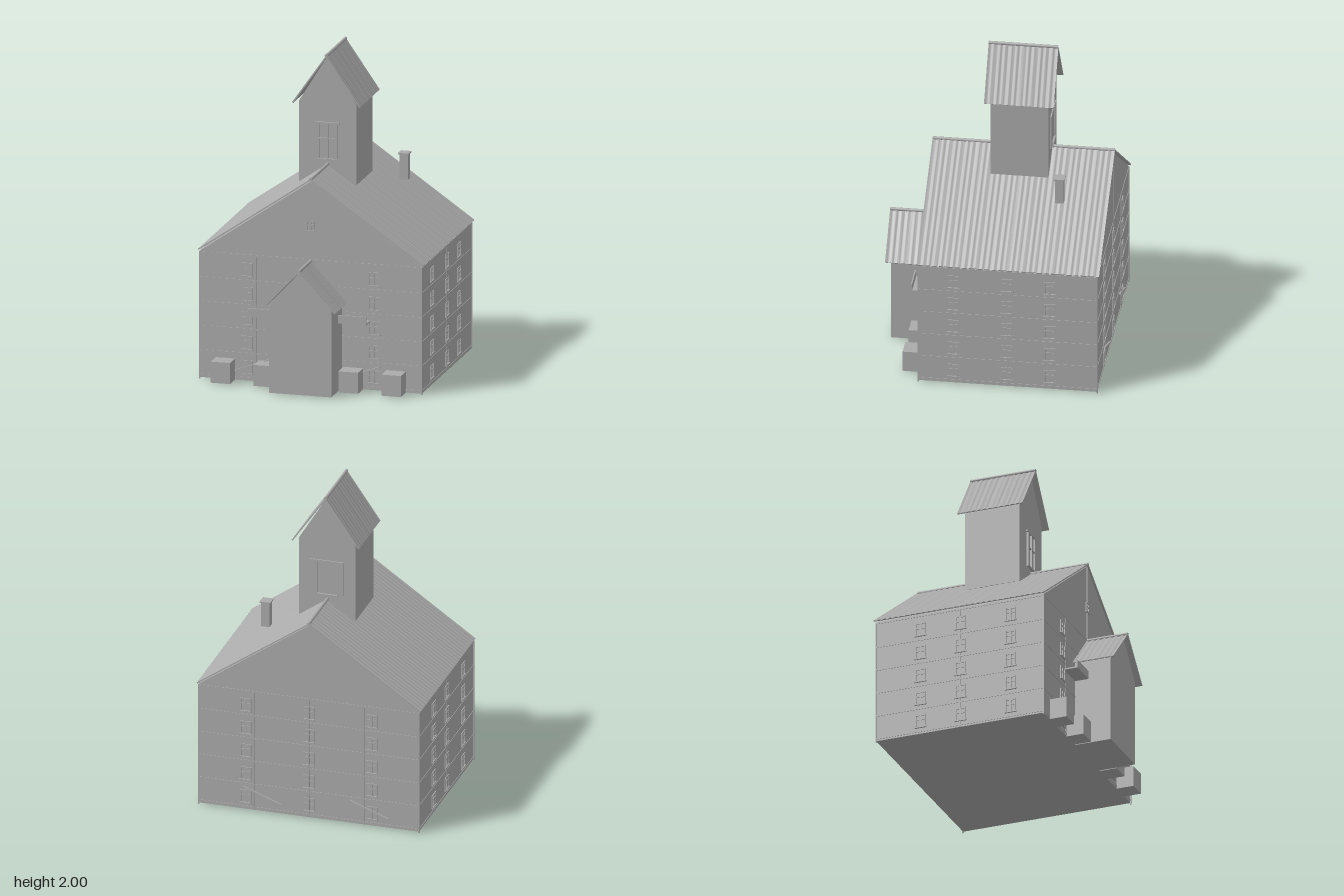
import * as THREE from 'three';
import { toCreasedNormals } from 'three/addons/utils/BufferGeometryUtils.js';

const plaster = new THREE.MeshStandardMaterial({ color: 0xaaaaaa });
plaster.name = 'grey plaster';

function add(parent, name, geometry, x = 0, y = 0, z = 0) {
  const mesh = new THREE.Mesh(geometry, plaster);
  mesh.name = name;
  mesh.position.set(x, y, z);
  parent.add(mesh);
  return mesh;
}

// Box given by its limits on each axis
function box(parent, name, x0, x1, y0, y1, z0, z1) {
  return add(parent, name, new THREE.BoxGeometry(x1 - x0, y1 - y0, z1 - z0),
    (x0 + x1) / 2, (y0 + y1) / 2, (z0 + z1) / 2);
}

// Walls with a pointed gable, running from z0 to z1
function gabledBlock(parent, name, half, y0, eave, apex, z0, z1) {
  const s = new THREE.Shape();
  s.moveTo(-half, y0);
  s.lineTo(half, y0);
  s.lineTo(half, eave);
  s.lineTo(0, apex);
  s.lineTo(-half, eave);
  s.closePath();
  const g = new THREE.ExtrudeGeometry(s, { depth: z1 - z0, bevelEnabled: false });
  add(parent, name, g, 0, 0, z0);
}

// Two corrugated slopes and a rounded ridge cap
function corrugatedRoof(parent, name, half, eave, apex, z0, z1) {
  const roof = new THREE.Group();
  roof.name = name;
  parent.add(roof);
  const width = z1 - z0, waves = Math.round(width / 0.036), n = waves * 6;
  const slope = Math.hypot(half, apex - eave);
  const c = half / slope, sn = (apex - eave) / slope;
  const s = new THREE.Shape();
  s.moveTo(-width / 2, -0.009);
  s.lineTo(width / 2, -0.009);
  for (let i = n; i >= 0; i--) {
    s.lineTo(-width / 2 + width * i / n, -0.003 + 0.0025 * Math.cos(i / 6 * Math.PI * 2));
  }
  s.closePath();
  for (const side of [1, -1]) {
    const g = toCreasedNormals(new THREE.ExtrudeGeometry(s, { depth: slope, bevelEnabled: false }), 0.7);
    g.applyMatrix4(new THREE.Matrix4().makeBasis(
      new THREE.Vector3(0, 0, -side),
      new THREE.Vector3(side * sn, c, 0),
      new THREE.Vector3(side * c, -sn, 0)));
    add(roof, 'roofSlope', g, 0, apex, (z0 + z1) / 2);
  }
  const cap = new THREE.CylinderGeometry(0.01, 0.01, width, 10).rotateX(Math.PI / 2);
  add(roof, 'ridgeCap', cap, 0, apex - 0.004, (z0 + z1) / 2);
}

// Window frame with a cross bar and a projecting sill, on a wall facing +z
function windowFrame(parent, u, y0, w, h, out = 0.006) {
  const f = new THREE.Group();
  f.name = 'window';
  f.position.set(u, y0, 0);
  parent.add(f);
  const t = Math.min(0.008, w * 0.12);
  for (const x of [-w / 2, -t / 2, w / 2 - t]) box(f, 'upright', x, x + t, 0, h, -0.002, out);
  for (const y of [h * 0.55, h - t]) box(f, 'crossBar', -w / 2, w / 2, y, y + t, -0.002, out * 0.9);
  box(f, 'sill', -w / 2 - 0.004, w / 2 + 0.004, -0.004, 0.004, -0.002, out + 0.004);
}

// Wall trim: floor bands, upright strips and a grid of windows
function trimWall(parent, name, x, z, angle, half, columns, strips) {
  const wall = new THREE.Group();
  wall.name = name;
  wall.position.set(x, 0, z);
  wall.rotation.y = angle;
  parent.add(wall);
  for (let floor = 0; floor < 5; floor++) {
    const y = 0.05 + floor * 0.153;
    box(wall, 'floorBand', -half, half, y - 0.031, y - 0.021, -0.002, 0.003);
    for (const u of columns) windowFrame(wall, u, y, 0.07, 0.085);
  }
  box(wall, 'eaveBand', -half, half, 0.79, 0.8, -0.002, 0.003);
  for (const u of strips) box(wall, 'uprightStrip', u - 0.006, u + 0.006, 0.01, 0.8, -0.002, 0.003);
  for (const u of [-half, half]) box(wall, 'cornerStrip', u - 0.004, u + 0.004, 0, 0.8, -0.004, 0.004);
  return wall;
}

// Sloping rails near the ground; dir is the uphill direction along the wall
function rails(wall, centres, dir) {
  for (const u of centres) {
    const rail = box(wall, 'slopingRail', -0.13, 0.13, -0.004, 0.004, -0.002, 0.012);
    rail.position.x = u;
    rail.position.y = 0.112;
    rail.rotation.z = dir * 0.36;
  }
}

export function createModel() {
  const model = new THREE.Group();
  model.name = 'gabledBuilding';

  // Main hall
  gabledBlock(model, 'mainWalls', 0.7, 0.008, 0.802, 1.288, -0.675, 0.42);
  corrugatedRoof(model, 'mainRoof', 0.712, 0.814, 1.306, -0.688, 0.428);

  // Wall trim on all four sides
  const front = trimWall(model, 'frontTrim', 0, 0.42, 0, 0.7, [-0.4, 0.4], [-0.35, 0.35]);
  rails(front, [-0.36, 0.32], 1);
  box(front, 'gableStrip', -0.005, 0.005, 1.04, 1.28, -0.002, 0.005);
  box(front, 'gableStrip', -0.005, 0.005, 0.8, 0.975, -0.002, 0.005);
  windowFrame(front, 0, 0.978, 0.05, 0.062);

  const back = trimWall(model, 'backTrim', 0, -0.675, Math.PI, 0.7, [-0.4, 0, 0.4], [-0.35, 0, 0.35]);
  rails(back, [-0.295, 0.385], -1);
  box(back, 'gableStrip', -0.005, 0.005, 0.8, 1.28, -0.002, 0.005);

  const columns = [-0.205, 0.123, 0.385];
  for (const s of [1, -1]) {
    const side = trimWall(model, 'sideTrim', s * 0.7, -0.1275, s * Math.PI / 2, 0.5475,
      columns.map(u => s * (u - 0.1275)), [0]);
    side.name = s > 0 ? 'leftTrim' : 'rightTrim';
  }

  // Bell tower
  gabledBlock(model, 'towerWalls', 0.18, 1.18, 1.69, 1.982, -0.305, 0.05);
  corrugatedRoof(model, 'towerRoof', 0.216, 1.684, 1.994, -0.342, 0.085);
  const towerFront = new THREE.Group();
  towerFront.name = 'towerFrontWindow';
  towerFront.position.z = 0.05;
  model.add(towerFront);
  windowFrame(towerFront, 0, 1.333, 0.12, 0.23, 0.01);
  box(towerFront, 'lintel', -0.075, 0.075, 1.556, 1.566, -0.002, 0.012);

  const towerBack = new THREE.Group();
  towerBack.name = 'towerBackWindow';
  towerBack.position.z = -0.305;
  towerBack.rotation.y = Math.PI;
  model.add(towerBack);
  for (const u of [-0.085, 0.085]) box(towerBack, 'shutter', u - 0.022, u + 0.022, 1.34, 1.56, -0.002, 0.009);
  box(towerBack, 'sill', -0.065, 0.065, 1.329, 1.337, -0.002, 0.012);
  box(towerBack, 'lintel', -0.065, 0.065, 1.552, 1.56, -0.002, 0.008);

  // Entrance porch
  gabledBlock(model, 'porchWalls', 0.197, 0.008, 0.55, 0.783, 0.4, 0.655);
  corrugatedRoof(model, 'porchRoof', 0.234, 0.546, 0.794, 0.42, 0.688);

  // Ledges and crates on both sides of the porch
  for (const s of [1, -1]) {
    const at = (name, a, b, y0, y1, z0, z1) =>
      box(model, name, Math.min(s * a, s * b), Math.max(s * a, s * b), y0, y1, z0, z1);
    at('ledgeFloor', 0.19, 0.375, 0.435, 0.444, 0.41, 0.51);
    at('ledgeLip', 0.19, 0.375, 0.444, 0.487, 0.502, 0.51);
    at('innerCrate', 0.205, 0.33, 0.008, 0.14, 0.41, 0.53);
    at('outerCrate', 0.478, 0.6, 0.008, 0.14, 0.41, 0.53);
  }

  // Chimney
  box(model, 'chimney', 0.33, 0.383, 1.12, 1.28, -0.425, -0.372);
  box(model, 'chimneyCap', 0.323, 0.39, 1.278, 1.287, -0.432, -0.365);

  return model;
}
